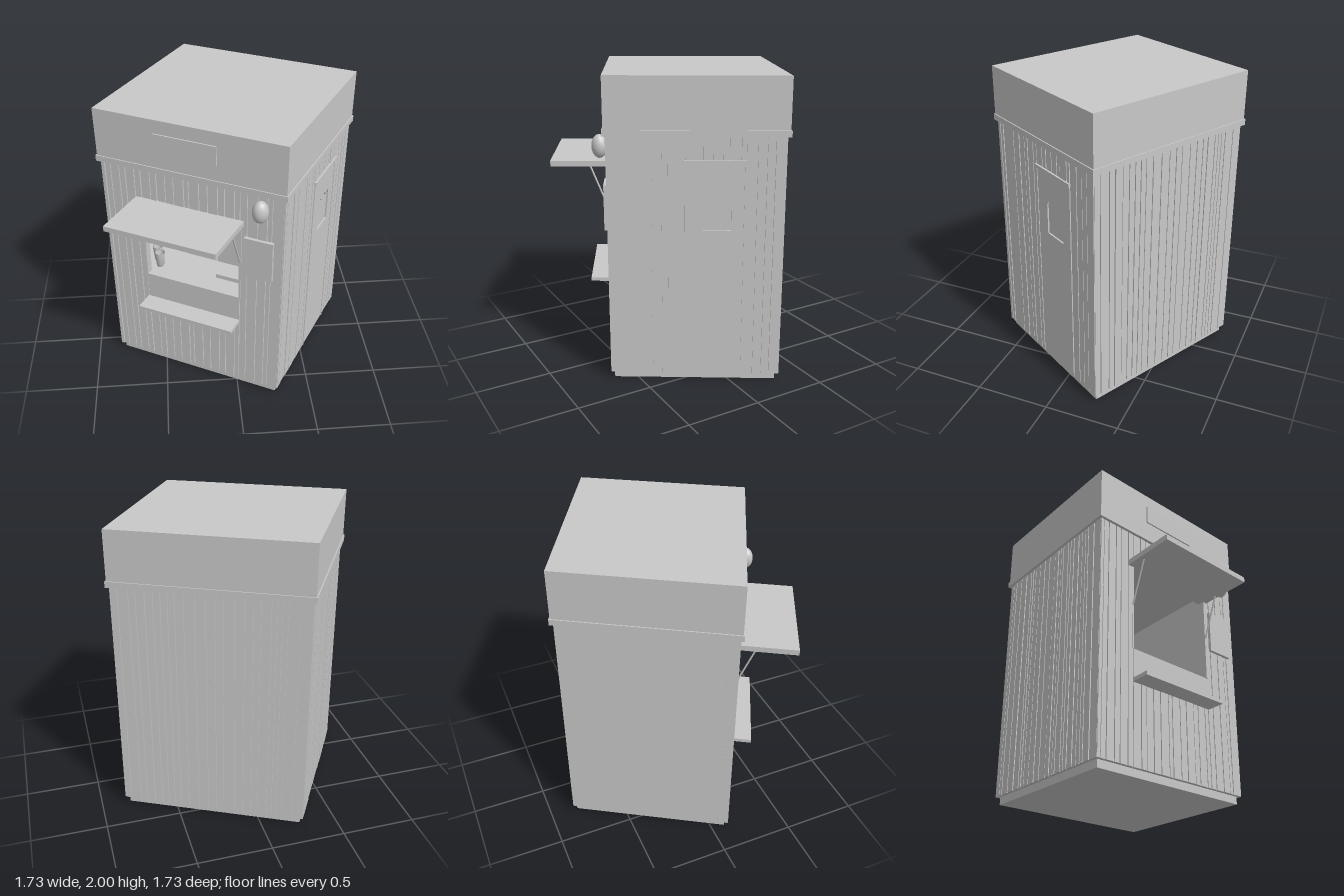
import * as THREE from 'three';
import { mergeGeometries } from 'three/addons/utils/BufferGeometryUtils.js';

export function createModel() {
  const kiosk = new THREE.Group();
  kiosk.name = 'kiosk';
  const grey = new THREE.MeshStandardMaterial({ color: 0xc8c8c8 });
  grey.name = 'light grey';

  // The kiosk stands turned and slightly skewed: u runs along the counter, w points out of it.
  const frame = new THREE.Matrix4().set(
    0.891, 0, -0.519, 0,
    0, 1, 0, 0,
    0.455, 0, 0.855, -0.09,
    0, 0, 0, 1);
  const add = (name, geometry) => {
    geometry.applyMatrix4(frame);
    const mesh = new THREE.Mesh(geometry, grey);
    mesh.name = name;
    kiosk.add(mesh);
  };
  const boxGeo = (u0, u1, y0, y1, w0, w1) =>
    new THREE.BoxGeometry(u1 - u0, y1 - y0, w1 - w0)
      .translate((u0 + u1) / 2, (y0 + y1) / 2, (w0 + w1) / 2);
  const box = (name, ...size) => add(name, boxGeo(...size));
  const slab = (name, hu, hw, y0, y1) => box(name, -hu, hu, y0, y1, -hw, hw);
  const rod = (name, a, b, r) => {
    const path = new THREE.LineCurve3(new THREE.Vector3(...a), new THREE.Vector3(...b));
    add(name, new THREE.TubeGeometry(path, 1, r, 8));
  };
  const lathe = (name, points, u, y, w) => add(name,
    new THREE.LatheGeometry(points.map(p => new THREE.Vector2(...p)), 20).translate(u, y, w));
  const rect = (Type, x0, x1, y0, y1) => new Type([
    new THREE.Vector2(x0, y0), new THREE.Vector2(x1, y0),
    new THREE.Vector2(x1, y1), new THREE.Vector2(x0, y1)]);

  // Plinth, roof and eave trim
  slab('plinth', 0.595, 0.53, 0, 0.06);
  slab('floor', 0.609, 0.544, 0.05, 0.09);
  slab('roof', 0.63, 0.566, 1.66, 2);
  slab('eaveTrim', 0.6375, 0.573, 1.635, 1.675);
  box('signPlate', -0.225, 0.19, 1.78, 1.91, 0.56, 0.575);

  // Hollow walls, with the serving hatch cut out of the front
  const HU = 0.609, HW = 0.544, T = 0.035;
  box('leftWall', -HU, -HU + T, 0.05, 1.64, -HW, HW);
  box('rightWall', HU - T, HU, 0.05, 1.64, -HW, HW);
  box('backWall', -HU, HU, 0.05, 1.64, -HW, -HW + T);
  const front = rect(THREE.Shape, -HU, HU, 0.05, 1.64);
  front.holes.push(rect(THREE.Path, -0.34, 0.333, 0.8, 1.385));
  add('frontWall', new THREE.ExtrudeGeometry(front, { depth: T, bevelEnabled: false })
    .translate(0, 0, HW - T));

  // Irregular vertical planks; each zone is [start, end, ...height ranges]
  let seed = 7;
  const random = () => (seed = (seed * 16807) % 2147483647) / 2147483647;
  const planks = (name, zones, angle, out) => {
    const parts = [];
    for (const [start, end, ...ranges] of zones) {
      let t = start;
      while (t < end - 0.001) {
        let next = t + 0.028 + random() * 0.045;
        if (end - next < 0.025) next = end;
        const depth = 0.008 + random() * 0.004;
        for (const [y0, y1] of ranges) {
          parts.push(boxGeo(t + 0.003, next - 0.003, y0, y1, out - 0.002, out + depth));
        }
        t = next;
      }
    }
    add(name, mergeGeometries(parts).rotateY(angle));
  };
  const full = [0.05, 1.638];
  planks('frontPlanks', [[-0.618, -0.34, full],
    [-0.34, 0.333, [0.05, 0.6], [1.39, 1.638]], [0.333, 0.618, full]], 0, HW);
  planks('backPlanks', [[-0.618, 0.618, full]], Math.PI, HW);
  planks('leftPlanks', [[-0.553, 0.553, full]], -Math.PI / 2, HU);
  planks('rightPlanks', [[-0.553, -0.069, full],
    [-0.069, 0.305, [1.48, 1.638]], [0.305, 0.553, full]], Math.PI / 2, HU);

  // Side door with a recessed, wavy-topped window
  const door = rect(THREE.Shape, -0.065, 0.301, 0.055, 1.465);
  const pane = new THREE.Path();
  pane.moveTo(0.04, 1.04);
  pane.lineTo(0.22, 1.04);
  pane.lineTo(0.22, 1.25);
  pane.quadraticCurveTo(0.2, 1.31, 0.17, 1.26);
  pane.quadraticCurveTo(0.13, 1.33, 0.09, 1.26);
  pane.quadraticCurveTo(0.06, 1.31, 0.04, 1.24);
  pane.closePath();
  door.holes.push(pane);
  add('door', new THREE.ExtrudeGeometry(door, { depth: 0.012, bevelEnabled: false })
    .translate(0, 0, HU - 0.001).rotateY(Math.PI / 2));
  box('doorLintel', 0.6, 0.632, 1.465, 1.488, -0.31, 0.075);
  for (const w of [-0.308, 0.062]) box('doorJamb', 0.6, 0.625, 0.055, 1.47, w, w + 0.01);

  // Serving hatch: apron panel, outside shelf, awning and struts
  box('hatchApron', -0.34, 0.333, 0.6, 0.8, 0.52, 0.556);
  box('hatchShelf', -0.345, 0.335, 0.58, 0.605, 0.54, 0.685);
  box('awning', -0.381, 0.357, 1.383, 1.42, 0.54, 0.925);
  for (const u of [-0.345, 0.335]) {
    rod('awningStrut', [u, 1.39, 0.67], [u, 1.1, 0.555], 0.006);
    box('hatchPost', u - 0.008, u + 0.008, 0.8, 1.385, 0.51, 0.558);
  }

  // Wall lamp and notice board
  add('wallLamp', new THREE.SphereGeometry(0.05, 24, 16).scale(1, 1.5, 1).translate(0.481, 1.545, 0.596));
  box('lampMount', 0.463, 0.499, 1.52, 1.57, 0.54, 0.57);
  box('noticeBoard', 0.367, 0.558, 1.015, 1.31, 0.54, 0.575);

  // Counters inside
  box('frontCounter', -0.575, 0.575, 0.76, 0.8, 0.25, 0.53);
  box('sideCounter', -0.575, -0.2, 0.1, 0.8, -0.51, 0.25);
  box('backCounter', -0.2, 0.575, 0.1, 0.8, -0.51, -0.2);
  box('backShelf', -0.25, 0.575, 1.15, 1.17, -0.51, -0.38);

  // Coffee machine on the side counter
  box('machineEnd', -0.57, -0.39, 0.8, 1.19, 0.16, 0.2);
  box('machineBack', -0.57, -0.5, 0.8, 1.1, -0.23, 0.16);
  box('machineHead', -0.57, -0.39, 1.03, 1.1, -0.23, 0.16);
  box('machineBase', -0.57, -0.35, 0.8, 0.91, -0.23, 0.15);
  for (const w of [-0.12, 0.04]) {
    rod('brewSpout', [-0.43, 1.03, w], [-0.43, 0.96, w], 0.02);
    rod('brewHandle', [-0.43, 0.985, w], [-0.34, 0.97, w], 0.01);
  }

  // Cups, stacked cups and bean jar
  const cup = [[0, 0], [0.024, 0], [0.034, 0.11], [0.03, 0.11], [0.022, 0.01], [0, 0.01]];
  const stack = [[0, 0], [0.03, 0], [0.034, 0.08], [0.024, 0.1], [0.024, 0.19], [0, 0.2]];
  for (const w of [0.12, 0.04, -0.04]) lathe('cupStack', stack, -0.44, 1.1, w);
  lathe('endCup', cup, -0.5, 1.19, 0.18);
  lathe('endCup', cup, -0.43, 1.19, 0.18);
  lathe('beanJar', [[0, 0], [0.055, 0], [0.06, 0.03], [0.06, 0.14], [0.05, 0.17], [0, 0.17]], -0.45, 1.1, -0.16);
  lathe('counterCup', cup, -0.31, 0.8, 0.44);
  lathe('counterCup', cup, -0.36, 0.8, 0.38);

  // Till and small boxes on the back counter
  box('displayCase', -0.24, -0.08, 0.8, 1.06, -0.42, -0.28);
  box('till', -0.3, -0.12, 0.8, 0.95, -0.26, -0.2);
  box('tray', 0.1, 0.28, 0.8, 0.83, 0.3, 0.42);

  return kiosk;
}
